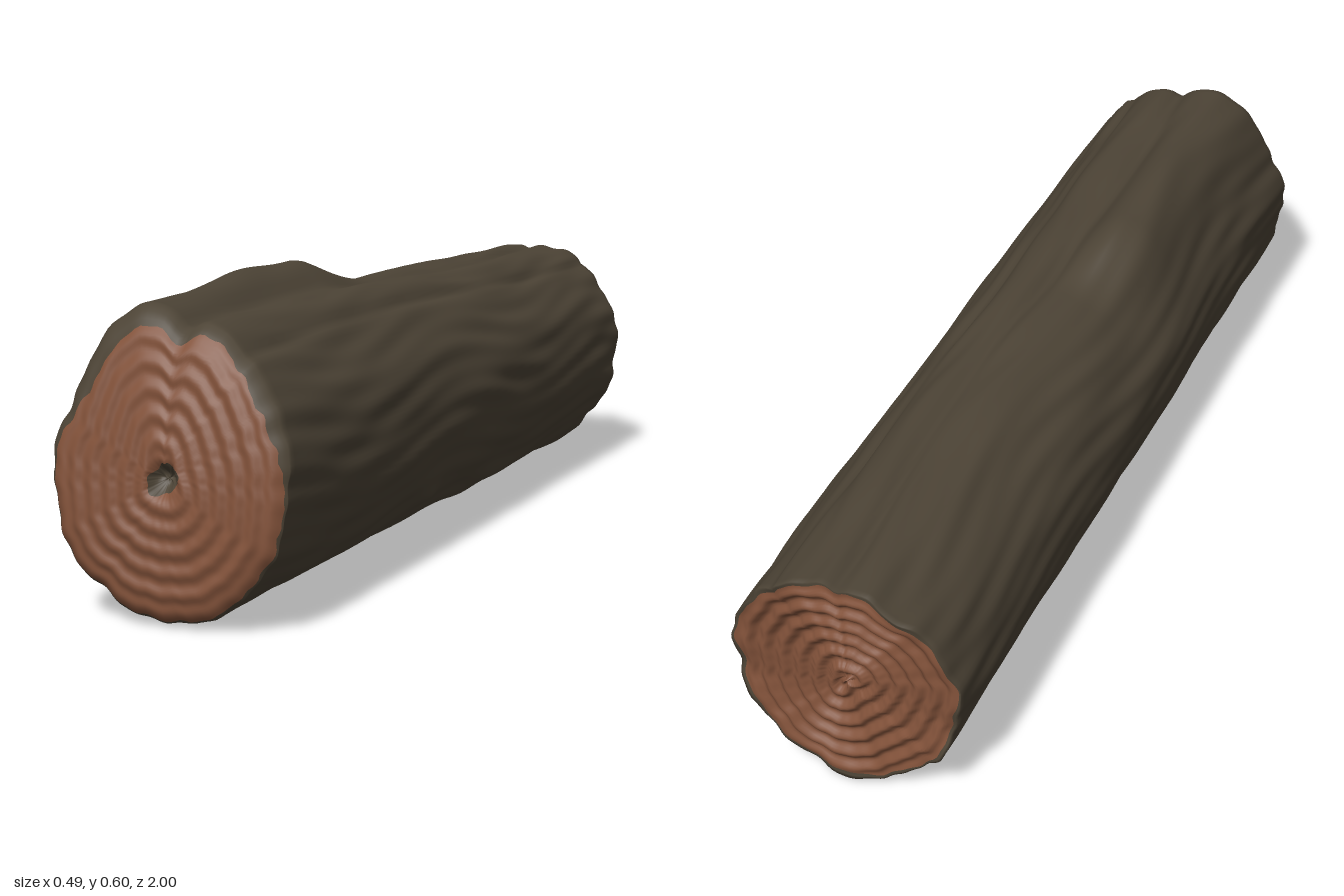
import * as THREE from 'three';

const SEG = 160;          // points around the log
const TAU = Math.PI * 2;
const CY = 0.27;          // height of the log axis

// Radii every 15 degrees, counter-clockwise from +x, seen from the front
const FRONT = [.238, .242, .25, .255, .27, .288, .28, .285, .272, .258, .25, .25,
  .24, .24, .244, .25, .243, .254, .258, .258, .258, .25, .244, .24];
const BACK = [.236, .235, .235, .236, .238, .24, .236, .238, .235, .236, .235, .238,
  .236, .234, .236, .238, .243, .255, .264, .262, .254, .244, .24, .237];
// How far the bark folds over the front face (fraction of the radius)
const CUT = [.98, .93, .91, .9, .93, .94, .89, .88, .84, .84, .9, .93,
  .97, .985, .985, .985, .985, .985, .985, .985, .985, .985, .985, .985];

const smooth = THREE.MathUtils.smoothstep;
const lerp = THREE.MathUtils.lerp;

// Periodic Catmull-Rom lookup
function around(table, a) {
  const n = table.length, u = ((a / TAU) % 1 + 1) % 1 * n, i = Math.floor(u), t = u - i;
  const [p, q, r, s] = [-1, 0, 1, 2].map(k => table[(i + k + n) % n]);
  return q + 0.5 * t * (r - p + t * (2 * p - 5 * q + 4 * r - s + t * (3 * (q - r) + s - p)));
}

function angleGap(a, degrees) {
  const d = a - degrees * Math.PI / 180;
  return Math.atan2(Math.sin(d), Math.cos(d));
}

const lump = (a, t, deg, at, wide, long) =>
  Math.exp(-((angleGap(a, deg) / wide) ** 2) - ((t - at) / long) ** 2);

// Log radius at angle a, t = 0 at the front and 1 at the back
function radius(a, t) {
  let r = lerp(around(FRONT, a), around(BACK, a), t ** 1.3);
  // swollen ridge ending in a step
  const height = lerp(0.045, 0.066, smooth(t, 0, 0.33)) * (1 - smooth(t, 0.33, 0.46));
  const gap = angleGap(a, 108);
  r += height * Math.exp(-((gap / (gap < 0 ? 0.24 : 0.44)) ** 2));
  // small knobs
  r += 0.014 * lump(a, t, 322, 0.4, 0.09, 0.03) + 0.012 * lump(a, t, 228, 0.3, 0.1, 0.08);
  r += 0.008 * lump(a, t, 305, 0.65, 0.15, 0.1);
  // long grooves
  r -= 0.012 * Math.exp(-((angleGap(a, 88 + 5 * Math.sin(t * 7)) / 0.07) ** 2));
  r -= 0.007 * Math.exp(-((angleGap(a, 60 + 4 * Math.sin(t * 5)) / 0.05) ** 2));
  // bark grain running along the log
  r += 0.0022 * Math.sin(9 * a + 3 * Math.sin(t * 6))
    + 0.0018 * Math.sin(17 * a + 4 * Math.sin(t * 9 + 1) + t * 3)
    + 0.0013 * Math.sin(29 * a - 3 * Math.sin(t * 13 + 2))
    + 0.0018 * Math.sin(t * 31 + 3 * Math.sin(2 * a)) * Math.sin(5 * a + t * 8);
  return r;
}

// Point on the front face at fraction f of the radius
function frontPoint(a, f) {
  const r = f * radius(a, 0);
  const x = r * Math.cos(a), y = CY + 0.008 * (1 - f) + r * Math.sin(a);
  const slope = 0.085 * Math.max(0, (y - 0.15) / 0.43) ** 1.8;
  const edge = (0.022 + 0.016 * Math.max(0, Math.sin(a))) * f ** 14;
  const rings = 0.0028 * Math.sin(f * 42 + 1.2 * Math.sin(a * 2 + 1) + Math.sin(a * 3))
    * (1 - smooth(f, 0.8, 1));
  const knot = 0.03 * (1 - smooth(f, 0.02, 0.15));
  return new THREE.Vector3(x, y, 0.998 - slope - edge - 0.15 * x * x + rings - knot);
}

// Point on the back face at fraction f of the radius
function backPoint(a, f) {
  const r = f * radius(a, 1);
  const x = r * Math.cos(a), y = CY - 0.01 * (1 - f) + r * Math.sin(a);
  const lean = 0.026 * smooth(y, 0.3, 0.5);
  const rings = 0.006 * Math.sin(f * 40 + 1.3 * Math.sin(a * 2) + Math.sin(a * 3 + 2))
    * (1 - smooth(f, 0.85, 1));
  const ragged = f ** 6 * (0.005 * Math.sin(7 * a) + 0.004 * Math.sin(12 * a + 1));
  return new THREE.Vector3(x, y, -0.965 - lean + rings - ragged);
}

// Point on the side of the log
function sidePoint(a, t) {
  const r = radius(a, t);
  const z = lerp(frontPoint(a, 1).z, backPoint(a, 1).z, t);
  return new THREE.Vector3(r * Math.cos(a), CY + r * Math.sin(a), z);
}

const foldEdge = a => Math.min(0.988, around(CUT, a)
  + 0.006 * Math.sin(23 * a) + 0.005 * Math.sin(41 * a + 1));
const knotEdge = a => 0.115 + 0.025 * Math.cos(2 * (a - 0.5)) + 0.008 * Math.sin(5 * a);
const backEdge = a => 0.965 + 0.012 * Math.sin(5 * a) + 0.008 * Math.sin(13 * a);

// Skin a sequence of closed loops ordered from front to back
function loft(name, material, rows) {
  const positions = [], index = [];
  rows.forEach((point, j) => {
    for (let i = 0; i < SEG; i++) {
      positions.push(...point(i / SEG * TAU).toArray());
      if (j === 0) continue;
      const k = (i + 1) % SEG, p = (j - 1) * SEG, q = j * SEG;
      index.push(p + i, q + i, p + k, p + k, q + i, q + k);
    }
  });
  const g = new THREE.BufferGeometry();
  g.setAttribute('position', new THREE.Float32BufferAttribute(positions, 3));
  g.setIndex(index);
  g.computeVertexNormals();
  const mesh = new THREE.Mesh(g, material);
  mesh.name = name;
  return mesh;
}

const steps = (n, make) => Array.from({ length: n + 1 }, (_, i) => make(i / n));

export function createModel() {
  const bark = new THREE.MeshStandardMaterial({ color: 0x4d4436 });
  bark.name = 'bark';
  const wood = new THREE.MeshStandardMaterial({ color: 0x82523a });
  wood.name = 'cutWood';

  const log = new THREE.Group();
  log.name = 'log';
  log.add(
    // dark hollow in the middle of the front cut
    loft('knotHole', bark, steps(8, s => a => frontPoint(a, s * knotEdge(a)))),
    loft('frontCut', wood, steps(50, s => a => frontPoint(a, lerp(knotEdge(a), foldEdge(a), s)))),
    // bark folds over the front rim, runs along the side and over the back rim
    loft('barkShell', bark, [
      ...steps(6, s => a => frontPoint(a, lerp(foldEdge(a), 1, s))),
      ...steps(140, t => a => sidePoint(a, t)).slice(1),
      ...steps(2, s => a => backPoint(a, lerp(1, backEdge(a), s))).slice(1),
    ]),
    loft('backCut', wood, steps(50, s => a => backPoint(a, backEdge(a) * (1 - s)))),
  );
  return log;
}
